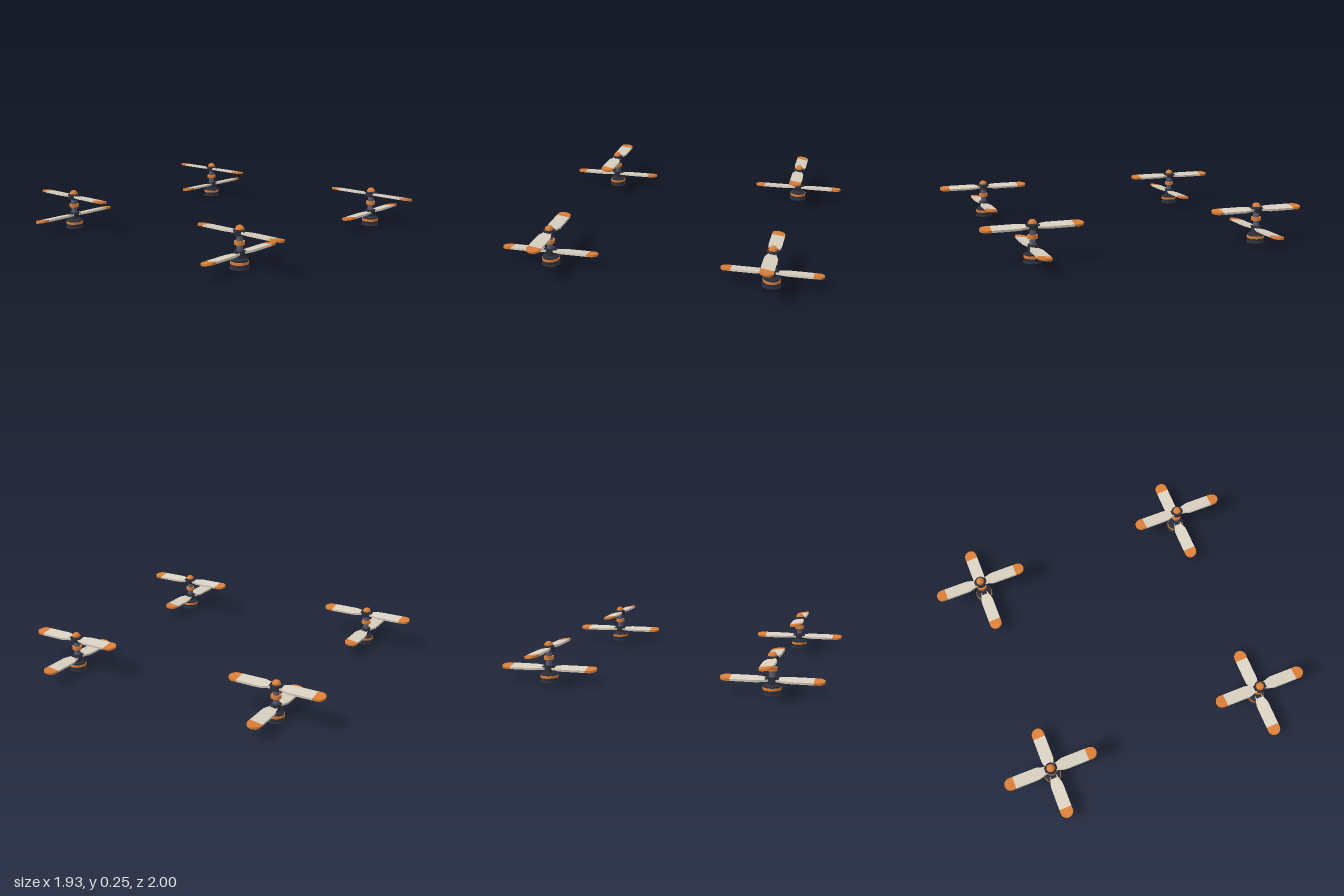
import * as THREE from 'three';

const mat = (name, color) => {
  const m = new THREE.MeshStandardMaterial({ color });
  m.name = name;
  return m;
};

const HALF = 0.039, TIP_START = 0.236, REACH = 0.298, THICK = 0.013, PITCH = 0.15;

// Flat outline extruded to a thin plate lying in the xz plane
function plate(shape) {
  const g = new THREE.ExtrudeGeometry(shape, { depth: THICK, bevelEnabled: false, curveSegments: 16 });
  g.translate(0, 0, -THICK / 2);
  return g.rotateX(-Math.PI / 2);
}

// Blade: narrow root that swells to full width
function bladeGeometry() {
  const s = new THREE.Shape();
  s.moveTo(0.015, -0.02);
  s.lineTo(0.04, -0.025);
  s.bezierCurveTo(0.06, -0.03, 0.07, -HALF, 0.1, -HALF);
  s.lineTo(TIP_START, -HALF);
  s.lineTo(TIP_START, HALF);
  s.lineTo(0.1, HALF);
  s.bezierCurveTo(0.07, HALF, 0.06, 0.03, 0.04, 0.025);
  s.lineTo(0.015, 0.02);
  return plate(s);
}

// Rounded coloured blade end
function tipGeometry() {
  const s = new THREE.Shape();
  s.moveTo(TIP_START, -HALF);
  s.lineTo(REACH - HALF, -HALF);
  s.absarc(REACH - HALF, 0, HALF, -Math.PI / 2, Math.PI / 2, false);
  s.lineTo(TIP_START, HALF);
  return plate(s);
}

export function createModel() {
  const dark = mat('dark metal', 0x2c2e3a);
  const orange = mat('orange', 0xdb7f38);
  const cream = mat('cream', 0xd8cfbf);
  const steel = mat('shaft grey', 0x5c5a6e);

  const blade = bladeGeometry(), tip = tipGeometry();
  const clamp = new THREE.BoxGeometry(0.03, 0.02, 0.036);
  const dome = new THREE.SphereGeometry(0.026, 24, 10, 0, Math.PI * 2, 0, Math.PI / 2);

  // Turned parts of the mast: name, material, bottom, top, lower radius, upper radius
  const stack = [
    ['baseFlange', dark, 0, 0.01, 0.058, 0.054],
    ['baseDrum', dark, 0.01, 0.05, 0.05, 0.05],
    ['baseBand', orange, 0.027, 0.042, 0.053, 0.053],
    ['baseShoulder', dark, 0.05, 0.06, 0.05, 0.034],
    ['lowerHub', dark, 0.06, 0.1, 0.03, 0.03],
    ['shaft', steel, 0.1, 0.19, 0.018, 0.018],
    ['shaftCollar', orange, 0.135, 0.155, 0.03, 0.03],
    ['upperHub', dark, 0.187, 0.215, 0.034, 0.036],
    ['capSeat', dark, 0.215, 0.221, 0.036, 0.027],
  ].map(([name, m, y0, y1, r0, r1]) => {
    const geo = new THREE.CylinderGeometry(r1, r0, y1 - y0, 24);
    return { name, m, geo: geo.translate(0, (y0 + y1) / 2, 0) };
  });

  const add = (parent, name, geo, m) => {
    const mesh = new THREE.Mesh(geo, m);
    mesh.name = name;
    parent.add(mesh);
    return mesh;
  };

  // Pair of opposite blades sharing one pitch
  function bladePair(name, y, turn) {
    const pair = new THREE.Group();
    pair.name = name;
    pair.position.y = y;
    pair.rotation.y = turn;
    const pitched = new THREE.Group();
    pitched.name = name + 'Pitch';
    pitched.rotation.x = -PITCH;
    pair.add(pitched);
    for (const angle of [0, Math.PI]) {
      const arm = new THREE.Group();
      arm.name = 'bladeArm';
      arm.rotation.y = angle;
      add(arm, 'blade', blade, cream);
      add(arm, 'bladeTip', tip, orange);
      add(arm, 'bladeClamp', clamp, dark).position.x = 0.024;
      pitched.add(arm);
    }
    return pair;
  }

  // Four identical masts with two stacked, crossed blade pairs
  const model = new THREE.Group();
  model.name = 'rotorSet';
  for (const sx of [-1, 1]) for (const sz of [-1, 1]) {
    const rotor = new THREE.Group();
    rotor.name = (sz > 0 ? 'front' : 'back') + (sx > 0 ? 'Left' : 'Right') + 'Rotor';
    rotor.position.set(sx * 0.667, 0, sz * 0.702);
    for (const p of stack) add(rotor, p.name, p.geo, p.m);
    add(rotor, 'cap', dome, orange).position.y = 0.219;
    rotor.add(bladePair('lowerBlades', 0.083, 0));
    rotor.add(bladePair('upperBlades', 0.203, -Math.PI / 2));
    model.add(rotor);
  }
  return model;
}
